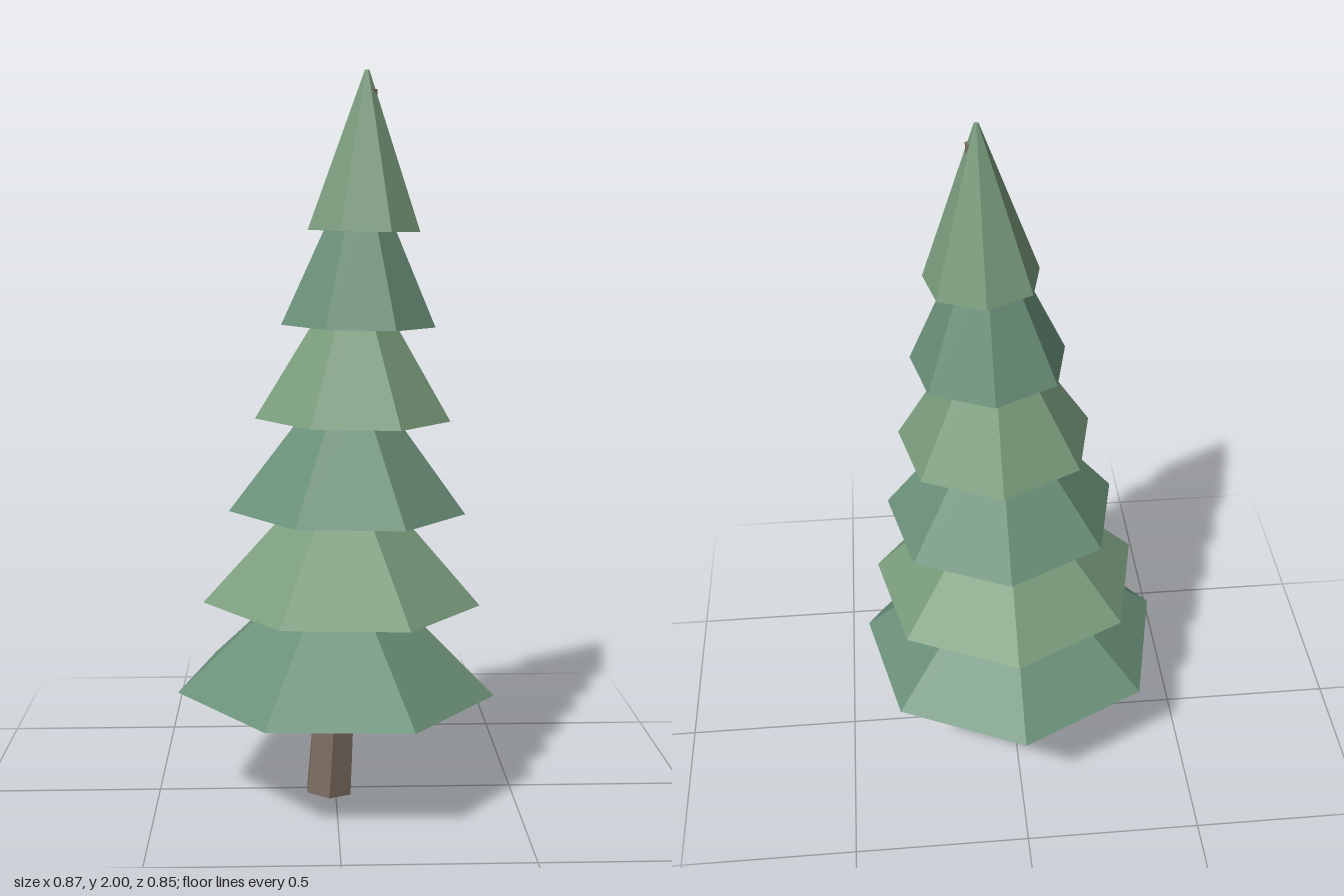
import * as THREE from 'three';

const AXIS_Z = 0.02;

function part(name, geometry, color, x, y, lean) {
  const mesh = new THREE.Mesh(geometry, new THREE.MeshStandardMaterial({
    color, flatShading: true, side: THREE.DoubleSide,
  }));
  mesh.name = name;
  mesh.position.set(x, y, AXIS_Z);
  mesh.rotation.z = -lean;
  return mesh;
}

export function createModel() {
  const tree = new THREE.Group();
  tree.name = 'pineTree';

  // Leaning six-sided trunk, tapering up to just below the tip
  const trunkLength = 1.95;
  const trunkGeo = new THREE.CylinderGeometry(0.015, 0.07, trunkLength, 6);
  trunkGeo.translate(0, trunkLength / 2, 0);
  tree.add(part('trunk', trunkGeo, 0x7c6c60, -0.019, 0.004, 0.06));

  // Six seven-sided foliage skirts, open below, in two alternating greens
  const tiers = 6;
  for (let i = 0; i < tiers; i++) {
    const top = i === tiers - 1;
    const height = top ? 0.42 : 0.32;
    const rimRadius = 0.446 - 0.0584 * i;
    const topRadius = top ? 0.006 : 0.097 - 0.007 * i;
    const geo = new THREE.CylinderGeometry(topRadius, rimRadius, height, 7, 1, !top, Math.PI);
    if (top) {
      // keep the tip cap but leave the underside open
      const cap = geo.groups[2];
      geo.setIndex(Array.from(geo.index.array).slice(0, cap.start));
      geo.clearGroups();
    }
    geo.translate(0, height / 2, 0);
    const color = i % 2 ? 0x7a9c7c : 0x6a9078;
    tree.add(part(`foliageTier${i + 1}`, geo, color, 0.015 * i, 0.32 + 0.252 * i, 0.02));
  }
  return tree;
}
